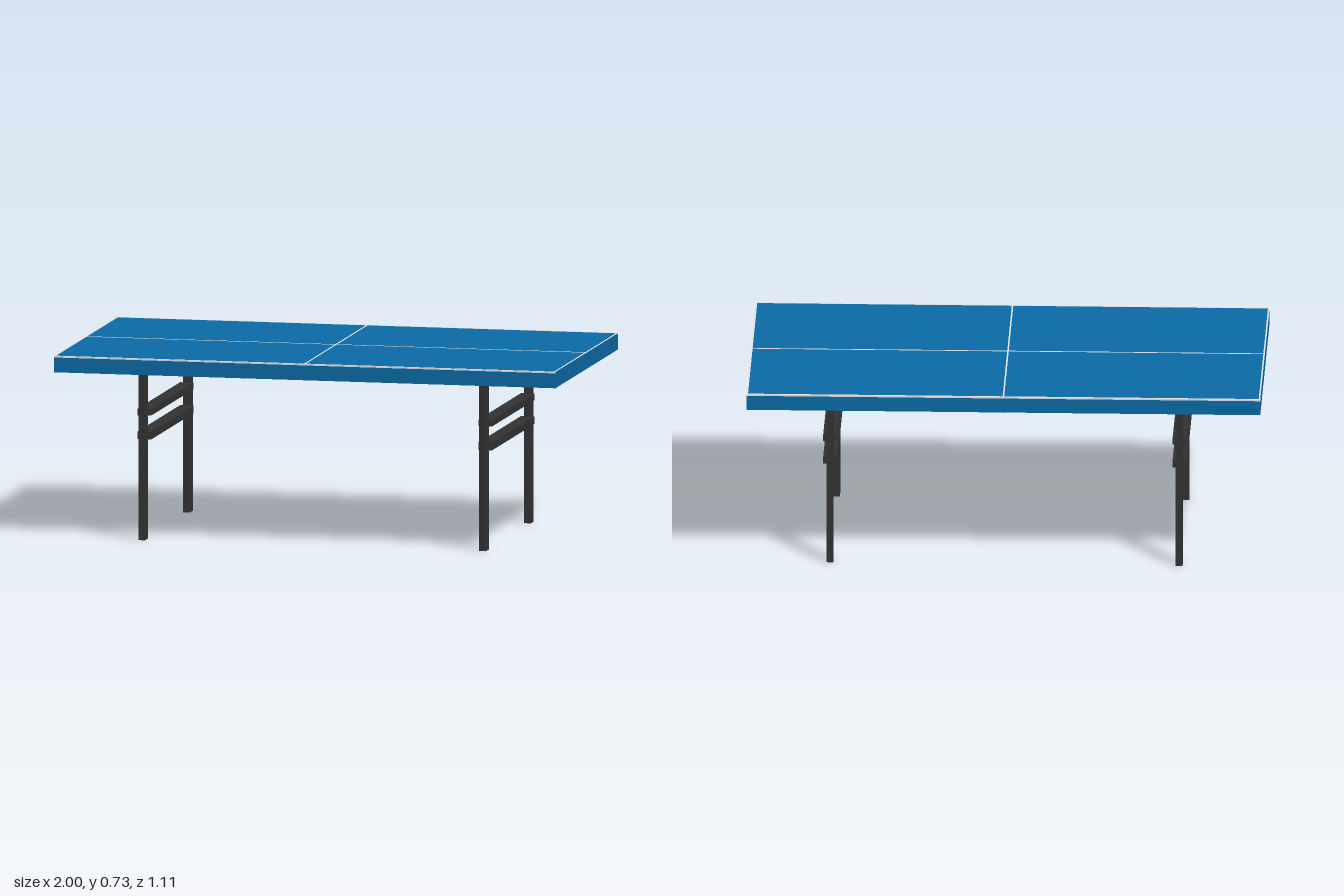
import * as THREE from 'three';

export function createModel() {
  const group = new THREE.Group();
  const blue = new THREE.MeshStandardMaterial({ name: 'table blue', color: 0x0b6ba6 });
  const dark = new THREE.MeshStandardMaterial({ name: 'leg charcoal', color: 0x333333 });
  const white = new THREE.MeshStandardMaterial({ name: 'line white', color: 0xe6e6e6 });

  const box = (name, material, size, position) => {
    const mesh = new THREE.Mesh(new THREE.BoxGeometry(...size), material);
    mesh.name = name;
    mesh.position.set(...position);
    group.add(mesh);
  };

  // Table top
  const bottom = 0.668, top = 0.732, width = 2, depth = 1.1;
  box('tableTop', blue, [width, top - bottom, depth], [0, (top + bottom) / 2, 0]);

  // Painted lines: centre cross, end lines and side lines
  const line = 0.006, thin = 0.002;
  box('centreLine', white, [width, thin, line], [0, top, 0]);
  box('middleLine', white, [line, thin, depth], [0, top, 0]);
  box('undersideLine', white, [0.02, thin, depth], [0, bottom, 0]);
  for (const side of [-1, 1]) {
    box('endLine', white, [line, thin, depth], [side * (width - line) / 2, top, 0]);
    box('sideLine', white, [width, 0.006, 0.01], [0, top - 0.002, side * depth / 2]);
  }

  // Two leg frames, each with two posts and two flat rails
  for (const side of [-1, 1]) {
    const x = side * 0.68;
    for (const end of [-1, 1]) {
      box('leg', dark, [0.027, bottom, 0.05], [x, bottom / 2, end * 0.395]);
    }
    box('upperRail', dark, [0.054, 0.026, 0.75], [x, 0.497, 0]);
    box('lowerRail', dark, [0.054, 0.03, 0.75], [x, 0.405, 0]);
  }
  return group;
}
